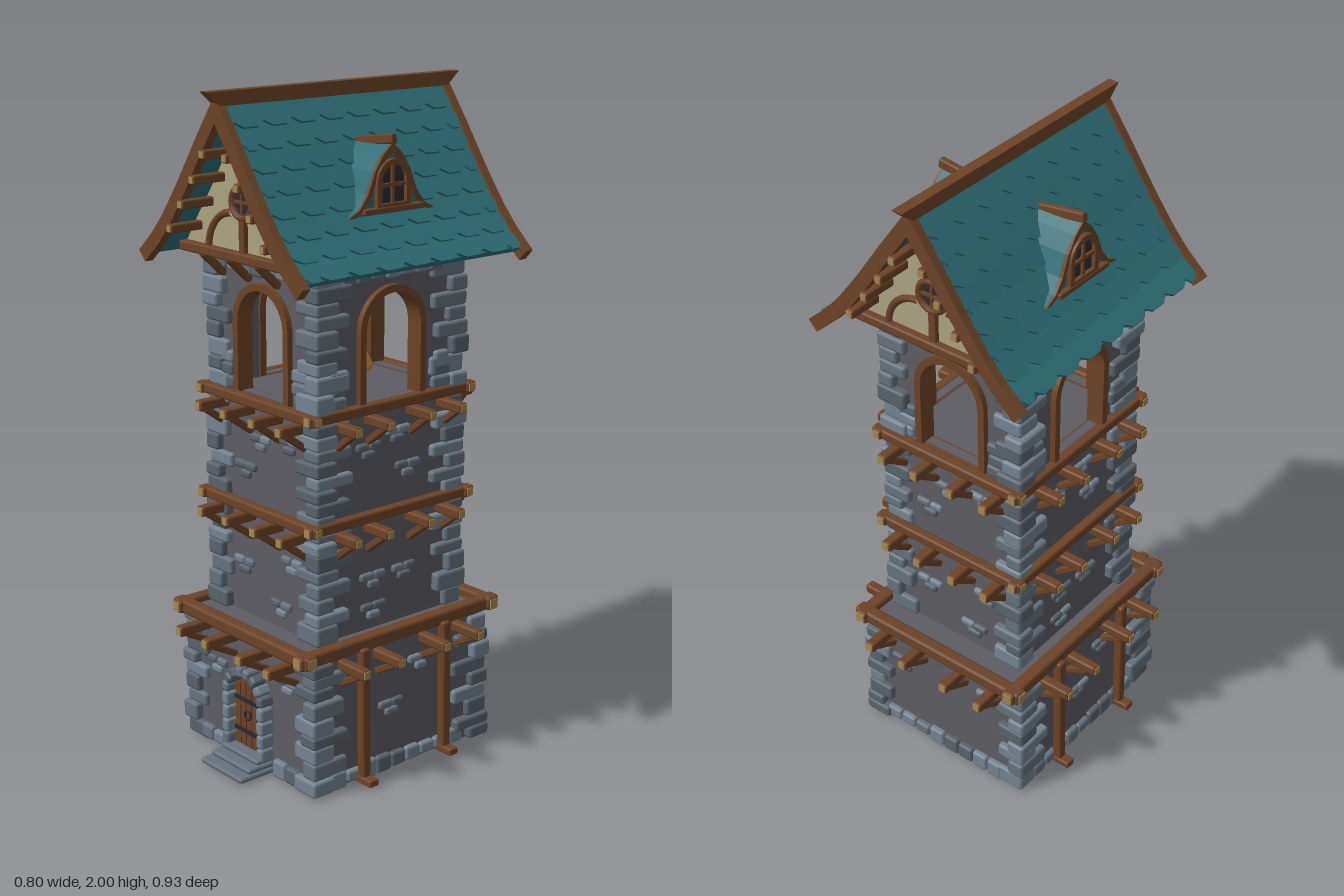
import * as THREE from 'three';
import { RoundedBoxGeometry } from 'three/addons/geometries/RoundedBoxGeometry.js';

const mat = (color) => new THREE.MeshStandardMaterial({ color });
const WALL = mat(0x5c5c63), WOOD = mat(0x6c4427), DARKWOOD = mat(0x52331d), END = mat(0xa3874f);
const TEAL = mat(0x2c6d75), CREAM = mat(0xaaa47f), GLASS = mat(0x2b2d33), BELL = mat(0xc58f38), IRON = mat(0x2a2a2c);
const STONES = [mat(0x66727d), mat(0x748390), mat(0x59636c)];
const HX = 0.235, HZ = 0.265;

let seed = 7;
const rnd = () => (seed = (seed * 16807) % 2147483647) / 2147483647;
const V = (x, y, z) => new THREE.Vector3(x, y, z);

function add(parent, name, geo, material, x = 0, y = 0, z = 0) {
  const m = new THREE.Mesh(geo, material);
  m.name = name;
  m.position.set(x, y, z);
  parent.add(m);
  return m;
}
const box = (p, name, material, w, h, d, x, y, z) => add(p, name, new THREE.BoxGeometry(w, h, d), material, x, y, z);
const stone = (p, w, h, d, x, y, z) => add(p, 'stone', new RoundedBoxGeometry(w, h, d, 1, 0.009), STONES[Math.floor(rnd() * 3)], x, y, z);
const extrude = (shape, depth) => new THREE.ExtrudeGeometry(shape, { depth, bevelEnabled: false, curveSegments: 10 });
const poly = (pts) => new THREE.Shape(pts.map(([x, y]) => new THREE.Vector2(x, y)));

// Squared timber from a to b, optionally with pale cut ends
function beam(p, name, a, b, w, h, ends = false) {
  const g = new THREE.Group(), len = a.distanceTo(b);
  g.name = name;
  g.position.copy(a).lerp(b, 0.5);
  g.quaternion.setFromRotationMatrix(new THREE.Matrix4().lookAt(b, a, V(0, 1, 0)));
  add(g, name, new RoundedBoxGeometry(w, h, len, 1, Math.min(w, h) * 0.22), WOOD);
  if (ends) for (const s of [-1, 1]) box(g, 'cutEnd', END, w * 0.7, h * 0.7, 0.004, 0, 0, s * len / 2);
  p.add(g);
}

// Runs fn once per side of a rectangular storey; local +z points outward
function faces(parent, hx, hz, fn) {
  for (let i = 0; i < 4; i++) {
    const g = new THREE.Group();
    g.name = ['frontSide', 'leftSide', 'backSide', 'rightSide'][i];
    g.rotation.y = i * Math.PI / 2;
    parent.add(g);
    fn(g, i % 2 ? hz : hx, i % 2 ? hx : hz, i);
  }
}

// Outline of a round-headed opening
function arch(T, r, y0, spring) {
  const s = new T();
  s.moveTo(-r, y0);
  s.lineTo(r, y0);
  s.lineTo(r, spring);
  s.absarc(0, spring, r, 0, Math.PI, false);
  s.lineTo(-r, y0);
  return s;
}

// Alternating cornerstones
function cornerStones(parent, hx, hz, y0, y1) {
  for (const sx of [-1, 1]) for (const sz of [-1, 1]) {
    for (let y = y0, k = 0; y < y1 - 0.015; k++) {
      const h = Math.min(0.036 + rnd() * 0.022, y1 - y), o = 0.014 + rnd() * 0.014;
      const lx = (k % 2 ? 0.055 : 0.09) + rnd() * 0.015, lz = (k % 2 ? 0.115 : 0.065) + rnd() * 0.02;
      stone(parent, lx, h, lz, sx * (hx + o - lx / 2), y + h / 2, sz * (hz + o - lz / 2));
      y += h;
    }
  }
}

function brickPatch(g, x, y, d) {
  [[-0.025, 0.014], [0.022, 0.014], [0, -0.012]].forEach(([dx, dy]) =>
    stone(g, 0.042 + rnd() * 0.012, 0.025, 0.024, x + dx, y + dy, d));
}

// One storey: walls, stones, ring beams, joists and braces
function storey(root, o) {
  const s = new THREE.Group();
  s.name = o.name;
  root.add(s);
  box(s, 'floor', WALL, o.hx * 2, 0.02, o.hz * 2, 0, o.y1 - 0.008, 0);
  faces(s, o.hx, o.hz, (g, w, d, i) => {
    const wall = poly([[-w, o.y0], [w, o.y0], [w, o.y1], [-w, o.y1]]);
    if (o.open) wall.holes.push(arch(THREE.Path, 0.105, o.y0 + 0.005, 1.33));
    add(g, 'wall', extrude(wall, 0.03), WALL, 0, 0, d - 0.03);
    for (const [x, y] of o.bricks[i % 2]) brickPatch(g, x, y, d);
    if (!o.ring) return;
    const out = i % 2 ? o.ext[0] : o.ext[1], t = o.t;
    const run = i % 2 ? o.ring[1] : o.ring[0], off = (i % 2 ? o.ring[0] : o.ring[1]) - t * 0.75;
    beam(g, 'ringBeam', V(-run, o.y1 + 0.002, off), V(run, o.y1 + 0.002, off), t, t, true);
    for (const x of [-o.joists[i % 2][0], -o.joists[i % 2][1], o.joists[i % 2][1], o.joists[i % 2][0]]) {
      beam(g, 'joist', V(x, o.y1 - t, d - 0.02), V(x, o.y1 - t, out), 0.032, 0.032, true);
      beam(g, 'brace', V(x, o.y1 - 0.1, d), V(x, o.y1 - t - 0.01, out - 0.025), 0.022, 0.02);
    }
  });
  cornerStones(s, o.hx, o.hz, o.y0, o.y1 - 0.015);
  return s;
}

// Right half of the roof line; t offsets it along its normal
const slope = new THREE.SplineCurve([[0, 1.965], [0.09, 1.84], [0.18, 1.71], [0.27, 1.595], [0.345, 1.525]].map((p) => new THREE.Vector2(...p)));
function roofLine(t, ext) {
  const pts = [[0, 1.965 + t * 1.7]];
  for (let i = 1; i <= 8; i++) {
    const p = slope.getPointAt(i / 8), d = slope.getTangentAt(i / 8), e = i === 8 ? ext : 0;
    pts.push([p.x + d.x * e - d.y * t, p.y + d.y * e + d.x * t]);
  }
  return pts;
}
function roofBand(t0, t1, ext) {
  const a = roofLine(t1, ext), b = roofLine(t0, ext), flip = (l) => l.slice(1).map(([x, y]) => [-x, y]);
  return poly([...flip(a).reverse(), ...a, ...b.reverse(), ...flip(b.reverse())]);
}

function dormer() {
  const g = new THREE.Group();
  g.name = 'dormer';
  const half = [[0.16, 1.655], [0.12, 1.675], [0.09, 1.715], [0.065, 1.775], [0.035, 1.82], [0, 1.85]];
  const line = [...half, ...half.slice(0, -1).reverse().map(([x, y]) => [-x, y])];
  add(g, 'dormerRoof', extrude(poly(line), 0.15), TEAL, 0, 0, 0.085);
  const inner = line.map(([x, y]) => [x * 0.86, 1.65 + (y - 1.65) * 0.88]).reverse();
  add(g, 'dormerTrim', extrude(poly([...line, ...inner]), 0.012), WOOD, 0, 0, 0.23);
  const frame = arch(THREE.Shape, 0.062, 1.67, 1.745);
  frame.holes.push(arch(THREE.Path, 0.046, 1.685, 1.745));
  add(g, 'windowFrame', extrude(frame, 0.02), WOOD, 0, 0, 0.23);
  add(g, 'windowGlass', extrude(arch(THREE.Shape, 0.05, 1.68, 1.745), 0.006), GLASS, 0, 0, 0.232);
  box(g, 'windowBar', WOOD, 0.01, 0.11, 0.012, 0, 1.735, 0.24);
  box(g, 'windowBar', WOOD, 0.095, 0.01, 0.012, 0, 1.735, 0.24);
  beam(g, 'windowSill', V(-0.11, 1.668, 0.24), V(0.11, 1.668, 0.24), 0.025, 0.016);
  beam(g, 'dormerRidge', V(0, 1.84, 0.09), V(0, 1.862, 0.247), 0.022, 0.028);
  return g;
}

function roof() {
  const r = new THREE.Group();
  r.name = 'roof';
  add(r, 'roofSlab', extrude(roofBand(-0.02, 0, 0), 0.81), TEAL, 0, 0, -0.405);
  const tile = (w) => extrude(poly([[-w, -0.045], [w, -0.045], [w, 0.028], [w * 0.5, 0.047], [-w * 0.5, 0.047], [-w, 0.028]]), 0.008).rotateX(0.1);
  const full = tile(0.0495), part = tile(0.0245);
  for (const side of [0, 1]) {
    const h = new THREE.Group();
    h.name = side ? 'rightSlope' : 'leftSlope';
    h.rotation.y = side * Math.PI;
    r.add(h);
    // Overlapping shingles in staggered rows
    for (let row = 0; row < 8; row++) {
      const u = 0.07 + row * 0.124, p = slope.getPointAt(u), d = slope.getTangentAt(u), odd = row % 2;
      for (let k = 0; k < 8 + odd; k++) {
        const end = odd && (k === 0 || k === 8);
        const z = odd ? (end ? (k ? 0.375 : -0.375) : -0.4 + k * 0.1) : -0.35 + k * 0.1;
        const m = add(h, 'shingle', end ? part : full, TEAL);
        m.quaternion.setFromRotationMatrix(new THREE.Matrix4().makeBasis(V(0, 0, 1), V(d.x, d.y, 0), V(-d.y, d.x, 0)));
        m.position.set(p.x - d.y * 0.002, p.y + d.x * 0.002, z);
      }
    }
    const dm = dormer();
    dm.rotation.y = Math.PI / 2;
    h.add(dm);
    // Gable end, set back beneath the overhang
    const g = new THREE.Group();
    g.name = side ? 'backGable' : 'frontGable';
    g.rotation.y = side * Math.PI;
    r.add(g);
    add(g, 'bargeBoard', extrude(roofBand(-0.03, 0.012, 0.025), 0.027), WOOD, 0, 0, 0.403);
    add(g, 'gablePanel', extrude(poly([[-0.285, 1.53], [0.285, 1.53], [0, 1.94]]), 0.02), CREAM, 0, 0, 0.31);
    beam(g, 'gableTie', V(-0.28, 1.535, 0.34), V(0.28, 1.535, 0.34), 0.03, 0.03);
    beam(g, 'kingPost', V(0, 1.74, 0.335), V(0, 1.93, 0.335), 0.025, 0.02);
    beam(g, 'kingPost', V(0, 1.54, 0.335), V(0, 1.645, 0.335), 0.025, 0.02);
    add(g, 'roundWindow', new THREE.TorusGeometry(0.045, 0.01, 6, 20), WOOD, 0, 1.69, 0.34);
    add(g, 'roundGlass', new THREE.CircleGeometry(0.045, 20), GLASS, 0, 1.69, 0.335);
    box(g, 'windowBar', WOOD, 0.09, 0.008, 0.01, 0, 1.69, 0.338);
    box(g, 'windowBar', WOOD, 0.008, 0.09, 0.01, 0, 1.69, 0.338);
    for (const s of [-1, 1]) {
      const a = add(g, 'curvedBrace', new THREE.TorusGeometry(0.11, 0.011, 6, 10, Math.PI / 2), WOOD, s * 0.05, 1.545, 0.335);
      if (s < 0) a.rotation.z = Math.PI / 2;
      for (const [x, y] of [[0.05, 1.825], [0.1, 1.75], [0.155, 1.675], [0.21, 1.6]])
        beam(g, 'purlin', V(s * x, y, 0.31), V(s * x, y, 0.438), 0.026, 0.026, true);
    }
    for (const x of [-0.185, -0.065, 0.065, 0.185]) beam(g, 'eaveBrace', V(x, 1.455, 0.265), V(x, 1.525, 0.34), 0.024, 0.022, true);
  }
  box(r, 'ceiling', WALL, 0.52, 0.02, 0.64, 0, 1.525, 0);
  const ridge = extrude(poly([[-0.42, 1.96], [0.42, 1.96], [0.465, 2], [-0.465, 2]]), 0.034).translate(0, 0, -0.017).rotateY(Math.PI / 2);
  add(r, 'ridgeBeam', ridge, WOOD);
  return r;
}

function door(root) {
  const g = new THREE.Group();
  g.name = 'door';
  root.add(g);
  add(g, 'doorBack', extrude(arch(THREE.Shape, 0.068, 0.04, 0.21), 0.01), DARKWOOD, 0, 0, 0.32);
  for (let i = -2; i <= 2; i++) {
    const h = 0.225 - Math.abs(i) * 0.012;
    box(g, 'doorPlank', WOOD, 0.022, h, 0.012, i * 0.026, 0.045 + h / 2, 0.334);
  }
  for (const y of [0.1, 0.2]) box(g, 'doorStrap', IRON, 0.125, 0.012, 0.006, 0, y, 0.342);
  add(g, 'doorRing', new THREE.TorusGeometry(0.014, 0.003, 6, 14), IRON, 0, 0.155, 0.345);
  for (const s of [-1, 1]) for (let k = 0; k < 4; k++) stone(g, 0.03, 0.043, 0.05, s * 0.082, 0.06 + k * 0.043, 0.345);
  for (let k = 0; k < 8; k++) {
    const a = (k + 0.5) * Math.PI / 8;
    stone(g, 0.032, 0.031, 0.05, Math.cos(a) * 0.083, 0.213 + Math.sin(a) * 0.083, 0.345).rotation.z = a;
  }
  for (let k = 0; k < 3; k++) stone(g, 0.2 - k * 0.012, 0.017, 0.13 - k * 0.035, 0, 0.0085 + k * 0.016, 0.385 - k * 0.0175);
}

export function createModel() {
  const root = new THREE.Group();
  root.name = 'bellTower';

  const base = storey(root, { name: 'baseStorey', y0: 0, y1: 0.425, hx: 0.29, hz: 0.325, t: 0.042, ring: [0.32, 0.39], ext: [0.4, 0.44],
    joists: [[0.21, 0.08], [0.225, 0.09]], bricks: [[[-0.165, 0.26], [0.17, 0.3]], [[-0.035, 0.195], [0.08, 0.31]]] });
  const narrow = { hx: HX, hz: HZ, t: 0.032, ring: [0.272, 0.318], ext: [0.335, 0.37], joists: [[0.185, 0.065], [0.2, 0.08]] };
  storey(root, { ...narrow, name: 'secondStorey', y0: 0.435, y1: 0.785,
    bricks: [[[-0.1, 0.585], [0.07, 0.495], [0.12, 0.64]], [[-0.06, 0.585], [0.06, 0.585], [-0.06, 0.49]]] });
  storey(root, { ...narrow, name: 'thirdStorey', y0: 0.785, y1: 1.108,
    bricks: [[[-0.02, 0.98], [0.11, 1.0], [-0.09, 0.885]], [[-0.08, 0.98], [0.07, 0.9], [0.03, 1.01]]] });
  const belfry = storey(root, { name: 'belfry', y0: 1.118, y1: 1.52, hx: HX, hz: HZ, open: true, bricks: [[], []] });

  // Footing course and slanted side posts
  faces(base, 0.29, 0.325, (g, w, d, i) => {
    for (let x = -w + 0.08; x < w - 0.06; x += 0.058)
      if (i || Math.abs(x) > 0.12) stone(g, 0.056, 0.035 + rnd() * 0.025, 0.035, x, 0.026, d);
    if (i % 2) for (const z of [-0.16, 0.16]) {
      beam(g, 'sidePost', V(z, 0.01, d + 0.025), V(z, 0.42, d + 0.02), 0.03, 0.03);
      beam(g, 'postFoot', V(z, 0.011, d), V(z, 0.011, 0.362), 0.034, 0.022);
    }
  });
  door(root);

  // Arched timber frames and the stone course above them
  faces(belfry, HX, HZ, (g, w, d) => {
    const f = arch(THREE.Shape, 0.125, 1.12, 1.33);
    f.holes.push(arch(THREE.Path, 0.103, 1.121, 1.33));
    add(g, 'archFrame', extrude(f, 0.055), WOOD, 0, 0, d - 0.037);
    for (let x = -w + 0.05; x < w - 0.03; x += 0.055) stone(g, 0.053, 0.035 + rnd() * 0.02, 0.03, x, 1.495, d);
    for (const s of [-1, 1]) for (let k = 0; k < 3; k++) stone(g, 0.05 + rnd() * 0.03, 0.036, 0.03, s * (w - 0.07), 1.14 + k * 0.038, d);
  });

  // Bell with clapper and hanging beam
  const profile = [[0.094, 1.178], [0.108, 1.17], [0.106, 1.185], [0.09, 1.215], [0.077, 1.27], [0.07, 1.34], [0.062, 1.385], [0.042, 1.408], [0, 1.415]];
  const bell = add(root, 'bell', new THREE.LatheGeometry(profile.map((p) => new THREE.Vector2(...p)), 28), BELL.clone());
  bell.material.side = THREE.DoubleSide;
  add(root, 'clapper', new THREE.SphereGeometry(0.02, 12, 8), IRON, 0, 1.19, 0);
  add(root, 'clapperRod', new THREE.CylinderGeometry(0.005, 0.005, 0.2, 6), IRON, 0, 1.3, 0);
  add(root, 'bellHanger', new THREE.CylinderGeometry(0.014, 0.014, 0.06, 8), IRON, 0, 1.435, 0);
  beam(root, 'bellBeam', V(-HX, 1.47, 0), V(HX, 1.47, 0), 0.035, 0.035);

  root.add(roof());
  return root;
}
